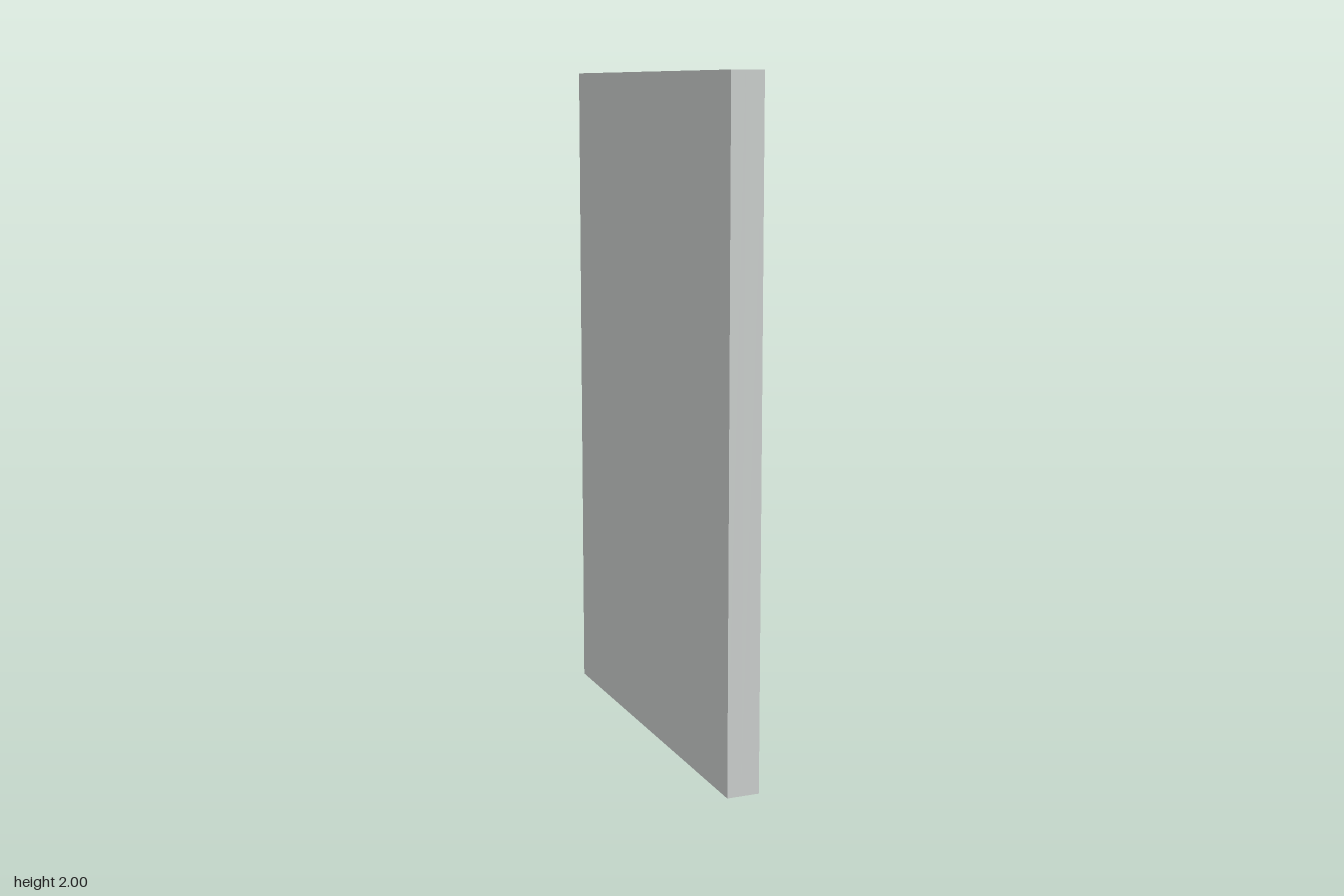
import * as THREE from 'three';

const material = (name, color, side = THREE.FrontSide) => {
  const m = new THREE.MeshStandardMaterial({ color, side });
  m.name = name;
  return m;
};

export function createModel() {
  const boardGrey = material('board grey', 0xc8ccca, THREE.DoubleSide);
  const red = material('red', 0x8c1012);
  const yellow = material('yellow', 0x857e0e);
  const green = material('green', 0x4c6e31);
  const teal = material('teal', 0x33646d);
  const purple = material('purple', 0x761192);

  // Built facing +z, then turned so the board faces +x
  const group = new THREE.Group();
  group.name = 'shapeBoard';
  group.rotation.y = Math.PI / 2;
  const FACE = 0.013, BACK = -0.084, DEPTH = 0.055;
  const FLOOR = FACE - DEPTH;

  const add = (name, geometry, mat, x, y, z) => {
    const mesh = new THREE.Mesh(geometry, mat);
    mesh.name = name;
    mesh.position.set(x, y, z);
    group.add(mesh);
    return mesh;
  };
  const polygon = (points) => new THREE.Path(points.map(([x, y]) => new THREE.Vector2(x, y)));
  const rectangle = (cx, cy, w, h, angle = 0) => {
    const c = Math.cos(angle), s = Math.sin(angle);
    return polygon([[-1, -1], [1, -1], [1, 1], [-1, 1]].map(([a, b]) => {
      const x = a * w / 2, y = b * h / 2;
      return [cx + x * c - y * s, cy + x * s + y * c];
    }));
  };
  const circle = (x, y, r) => new THREE.Path().absarc(x, y, r, 0, Math.PI * 2);

  const TILT = -0.727;
  const bowls = [
    { name: 'smallBowl', x: 0.295, y: 1.605, r: 0.13 },
    { name: 'largeBowl', x: 0.23, y: 0.862, r: 0.246 },
  ];

  // Front plate with the recess outlines cut out, over a solid back plate
  const plate = new THREE.Shape([
    new THREE.Vector2(-0.6, 0), new THREE.Vector2(0.6, 0),
    new THREE.Vector2(0.6, 2), new THREE.Vector2(-0.6, 2),
  ]);
  plate.holes.push(
    rectangle(0.2, 0.4, 0.4, 0.2),
    rectangle(-0.203, 1.56, 0.605, 0.2, TILT),
    polygon([[-0.48, 0.85], [-0.32, 0.035], [-0.305, 0.035], [-0.145, 0.85]]),
    ...bowls.map((b) => circle(b.x, b.y, b.r)),
  );
  add('frontPlate', new THREE.ExtrudeGeometry(plate, {
    depth: DEPTH, bevelEnabled: false, curveSegments: 48,
  }), boardGrey, 0, 0, FLOOR);
  add('backPlate', new THREE.BoxGeometry(1.2, 2, FLOOR - BACK), boardGrey, 0, 1, (FLOOR + BACK) / 2);

  // Rounded bowls
  for (const b of bowls) {
    const profile = [];
    for (let i = 0; i <= 12; i++) {
      const a = (i / 12) * Math.PI / 2;
      profile.push(new THREE.Vector2(b.r * Math.sin(a), -DEPTH * Math.cos(a)));
    }
    const bowl = new THREE.LatheGeometry(profile, 48).rotateX(Math.PI / 2);
    add(b.name, bowl, boardGrey, b.x, b.y, FACE);
  }

  // Flattened balls
  const ball = (name, mat, x, y, z, r, thick) =>
    add(name, new THREE.SphereGeometry(1, 48, 32).scale(r, r, thick), mat, x, y, z);
  ball('smallBall', purple, 0.297, 1.608, -0.01, 0.0865, 0.07);
  ball('largeBall', red, 0.237, 0.86, 0.003, 0.201, 0.081);

  // Bricks: the yellow one stands proud, the tilted green one is sunk
  const brick = (name, mat, x, y, w, h, top) => {
    const bottom = FLOOR - 0.01;
    return add(name, new THREE.BoxGeometry(w, h, top - bottom), mat, x, y, (top + bottom) / 2);
  };
  brick('yellowBrick', yellow, 0.2, 0.397, 0.335, 0.16, 0.037);
  brick('greenBrick', green, -0.208, 1.563, 0.505, 0.145, -0.012).rotation.z = TILT;

  // Flattened cone pointing down
  const cone = new THREE.CylinderGeometry(0.137, 0.004, 0.7, 48).scale(1, 1, 0.0585 / 0.137);
  add('cone', cone, teal, -0.312, 0.455, -0.0055);

  const model = new THREE.Group();
  model.add(group);
  return model;
}
